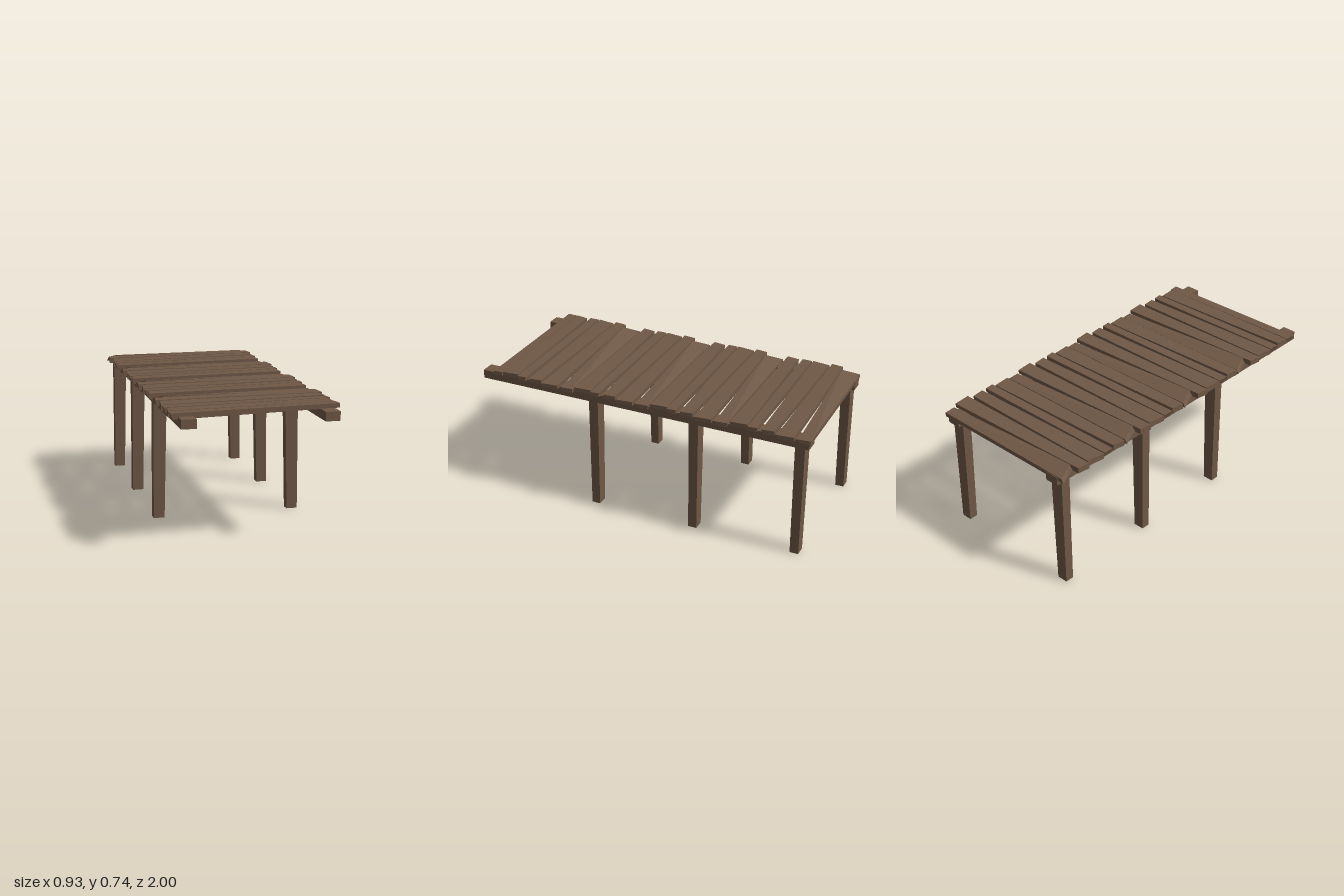
import * as THREE from 'three';

const wood = new THREE.MeshStandardMaterial({ color: 0x6f5846, flatShading: true });
wood.name = 'weathered brown wood';

// Unit box whose corners are moved by a rule; u, v, w run 0..1 along x, y, z.
function warpedBox(name, rule) {
  const g = new THREE.BoxGeometry(1, 1, 1);
  const p = g.attributes.position;
  for (let i = 0; i < p.count; i++) {
    p.setXYZ(i, ...rule(p.getX(i) + 0.5, p.getY(i) + 0.5, p.getZ(i) + 0.5));
  }
  g.computeVertexNormals();
  const mesh = new THREE.Mesh(g, wood);
  mesh.name = name;
  return mesh;
}

const mix = THREE.MathUtils.lerp;

// Five plank shapes that repeat along the deck.
// zL, zR: back and front edge at the -x and +x ends; xL, xR: end positions at those edges;
// top, bottom: heights at [-x back, -x front, +x]; flare: how far the lower -x edge sticks out.
const plankTypes = [
  { zL: [-0.985, -0.89], zR: [-1.0, -0.935], xL: [-0.44, -0.405], xR: [0.44, 0.445], top: [0.714, 0.738, 0.721], bottom: [0.69, 0.705, 0.697], flare: 0.013 },
  { zL: [-0.88, -0.81], zR: [-0.915, -0.82], xL: [-0.455, -0.465], xR: [0.455, 0.464], top: [0.733, 0.733, 0.731], bottom: [0.7, 0.7, 0.708], flare: 0 },
  { zL: [-0.8, -0.697], zR: [-0.8, -0.73], xL: [-0.445, -0.46], xR: [0.438, 0.446], top: [0.731, 0.731, 0.733], bottom: [0.698, 0.698, 0.709], flare: 0 },
  { zL: [-0.69, -0.632], zR: [-0.703, -0.652], xL: [-0.458, -0.46], xR: [0.444, 0.449], top: [0.73, 0.73, 0.734], bottom: [0.697, 0.697, 0.71], flare: -0.012 },
  { zL: [-0.612, -0.54], zR: [-0.645, -0.548], xL: [-0.446, -0.458], xR: [0.43, 0.438], top: [0.731, 0.731, 0.734], bottom: [0.698, 0.698, 0.709], flare: 0 }
];

function plank(t, shift, name) {
  return warpedBox(name, (u, v, w) => {
    const end = u < 0.5 ? t.xL : t.xR;
    const edge = u < 0.5 ? t.zL : t.zR;
    const heights = v < 0.5 ? t.bottom : t.top;
    const y = u < 0.5 ? mix(heights[0], heights[1], w) : heights[2];
    const x = mix(end[0], end[1], w) - (u < 0.5 && v < 0.5 ? t.flare : 0);
    return [x, y, mix(edge[0], edge[1], w) + shift];
  });
}

export function createModel() {
  const model = new THREE.Group();
  model.name = 'plank dock';

  // Uneven deck planks
  const deck = new THREE.Group();
  deck.name = 'deckPlanks';
  for (let i = 0; i < 20; i++) {
    deck.add(plank(plankTypes[i % 5], Math.floor(i / 5) * 0.469, 'plank' + (i + 1)));
  }
  deck.add(plank(plankTypes[3], 1.563, 'plank21'));
  model.add(deck);

  for (const side of [-1, 1]) {
    const sideName = side > 0 ? 'left' : 'right';

    // Long beam, drifting slightly sideways toward the back
    model.add(warpedBox(sideName + 'Beam', (u, v, w) => [
      side * 0.38 + (u - 0.5) * 0.08 + (1 - w) * 0.008,
      mix(0.66, 0.71, v),
      mix(-0.99, 1, w)
    ]));

    // Tapered posts, wider at the top on the inner side
    [0.285, -0.328, -0.937].forEach((z, i) => {
      model.add(warpedBox(sideName + 'Post' + (i + 1), (u, v, w) => {
        const outward = side > 0 ? u : 1 - u;
        const inner = mix(0.36, 0.343, v);
        return [
          side * mix(inner, mix(0.422, 0.418, v), outward),
          v * 0.69,
          z + (w - 0.5) * mix(0.05, 0.056, v)
        ];
      }));
    });
  }
  return model;
}
